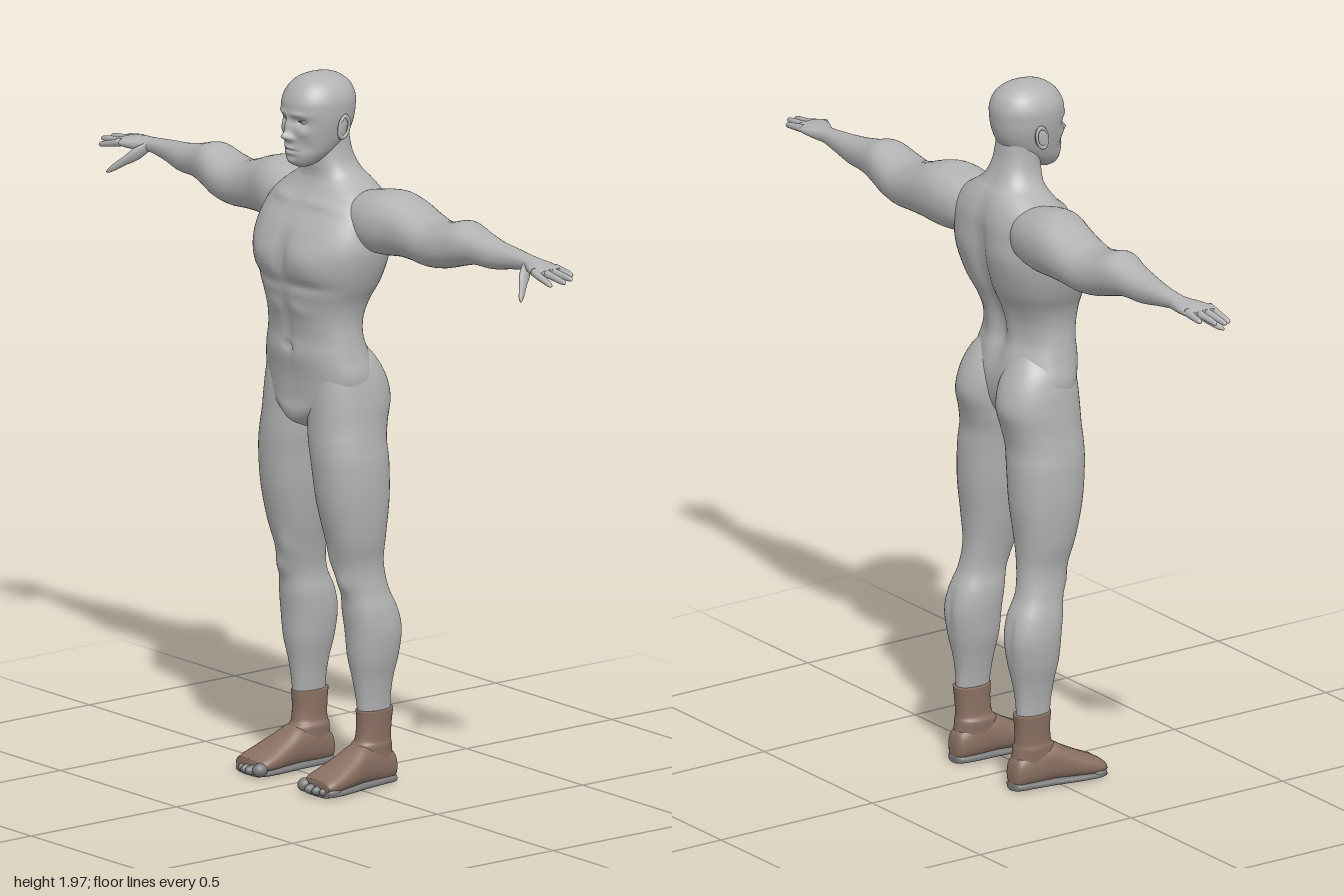
import * as THREE from 'three';

const material = (name, color) => {
  const m = new THREE.MeshStandardMaterial({ color });
  m.name = name;
  return m;
};

// Smooth Catmull-Rom interpolation between rows of numbers
function sampleRows(rows, steps) {
  const out = [], last = rows.length - 1;
  for (let s = 0; s <= steps; s++) {
    const f = (s / steps) * last, i = Math.min(Math.floor(f), last - 1), t = f - i;
    const [a, b, c, d] = [-1, 0, 1, 2].map(k => rows[Math.min(last, Math.max(0, i + k))]);
    out.push(b.map((_, k) => 0.5 * (2 * b[k] + (c[k] - a[k]) * t
      + (2 * a[k] - 5 * b[k] + 4 * c[k] - d[k]) * t * t
      + (3 * b[k] - a[k] - 3 * c[k] + d[k]) * t * t * t)));
  }
  return out;
}

// Rows are [position on axis, uMin, uMax, vMin, vMax], in ascending position.
// axis y: u = x, v = z;  axis x: u = y, v = z;  axis z: u = x, v = y.
// Bumps are [x, y, facing, amount, xRadius, yRadius], pushing the skin along z.
function loft(axis, rows, { steps = 40, segs = 32, power = 2.2, side = 1, bumps = [] } = {}) {
  const rings = sampleRows(rows, steps), pos = [], index = [];
  const centre = r => [r[0], (r[1] + r[2]) / 2, (r[1] + r[2]) / 2, (r[3] + r[4]) / 2, (r[3] + r[4]) / 2];
  const all = [centre(rings[0]), ...rings, centre(rings[steps])];
  const curve = c => Math.sign(c) * Math.abs(c) ** (2 / power);
  for (const [t, u0, u1, v0, v1] of all) {
    for (let j = 0; j < segs; j++) {
      const a = (j / segs) * Math.PI * 2, sn = Math.sin(a);
      const u = (u0 + u1) / 2 + (u1 - u0) / 2 * curve(Math.cos(a));
      const v = (v0 + v1) / 2 + (v1 - v0) / 2 * curve(sn);
      let [x, y, z] = axis === 'y' ? [u, t, v] : axis === 'x' ? [t, u, v] : [u, v, t];
      let push = 0;
      for (const [bx, by, face, amount, rx, ry] of bumps) {
        const w = Math.min(1, Math.max(0, sn * face * 3));
        push += face * amount * w * Math.exp(-(((Math.abs(x) - bx) / rx) ** 2) - ((y - by) / ry) ** 2);
      }
      pos.push(x * side, y, z + push);
    }
  }
  const flip = (axis === 'y') !== (side < 0);
  for (let i = 0; i < all.length - 1; i++) {
    for (let j = 0; j < segs; j++) {
      const k = (j + 1) % segs;
      const a = i * segs + j, b = i * segs + k, c = b + segs, d = a + segs;
      index.push(...(flip ? [a, c, b, a, d, c] : [a, b, c, a, c, d]));
    }
  }
  const g = new THREE.BufferGeometry();
  g.setAttribute('position', new THREE.Float32BufferAttribute(pos, 3));
  g.setIndex(index);
  g.computeVertexNormals();
  return g;
}

export function createModel() {
  const skin = material('skin grey', 0xb2b2b2);
  const wrap = material('foot wrap brown', 0x8a7062);
  const sole = material('sole grey', 0x7c7c7c);
  const dark = material('eye grey', 0x4c4c4c);
  const model = new THREE.Group();
  model.name = 'figure';
  const add = (name, geometry, mat, parent = model) => {
    const m = new THREE.Mesh(geometry, mat);
    m.name = name;
    parent.add(m);
    return m;
  };
  const ball = (name, mat, parent, p, s) => {
    const m = add(name, new THREE.SphereGeometry(1, 20, 14), mat, parent);
    m.position.set(...p);
    m.scale.set(...s);
    return m;
  };
  const symmetric = ([y, w, back, front]) => [y, -w, w, back, front];

  // Torso and neck
  const torso = [
    [0.99, 0.025, -0.03, 0.06], [1.01, 0.05, -0.06, 0.1], [1.04, 0.1, -0.085, 0.112],
    [1.08, 0.16, -0.1, 0.108], [1.14, 0.178, -0.105, 0.11], [1.2, 0.166, -0.092, 0.118],
    [1.25, 0.157, -0.075, 0.114], [1.3, 0.153, -0.08, 0.12], [1.35, 0.163, -0.1, 0.13],
    [1.4, 0.187, -0.125, 0.14], [1.45, 0.205, -0.14, 0.147], [1.5, 0.214, -0.148, 0.143],
    [1.55, 0.21, -0.15, 0.125], [1.6, 0.2, -0.15, 0.09], [1.64, 0.165, -0.14, 0.06],
    [1.67, 0.12, -0.125, 0.042], [1.69, 0.092, -0.11, 0.037], [1.72, 0.072, -0.094, 0.038],
    [1.76, 0.063, -0.08, 0.036], [1.82, 0.06, -0.07, 0.034]].map(symmetric);
  add('torso', loft('y', torso, {
    steps: 110, segs: 72, power: 2.3, bumps: [
      [0.09, 1.47, 1, 0.012, 0.06, 0.05], [0, 1.49, 1, -0.012, 0.015, 0.07],   // chest
      [0.08, 1.4, 1, -0.008, 0.08, 0.015], [0, 1.28, 1, -0.006, 0.01, 0.1],    // ribs, midline
      [0.05, 1.33, 1, 0.005, 0.03, 0.02], [0, 1.22, 1, -0.01, 0.01, 0.01],     // abdomen, navel
      [0, 1.42, -1, -0.022, 0.025, 0.2], [0.1, 1.52, -1, 0.01, 0.06, 0.07],    // spine, shoulder blades
      [0.05, 1.27, -1, 0.008, 0.03, 0.07], [0.08, 1.62, 1, 0.008, 0.06, 0.012] // loins, collar bones
    ] }), skin);

  // Head with sculpted face
  const head = new THREE.Group();
  head.name = 'head';
  model.add(head);
  const skull = [
    [1.715, 0.02, 0.045, 0.085], [1.725, 0.036, 0.02, 0.1], [1.75, 0.055, -0.02, 0.11],
    [1.78, 0.068, -0.06, 0.112], [1.81, 0.077, -0.08, 0.111], [1.84, 0.084, -0.09, 0.112],
    [1.87, 0.087, -0.094, 0.115], [1.9, 0.086, -0.094, 0.112], [1.93, 0.073, -0.082, 0.096],
    [1.95, 0.053, -0.06, 0.073], [1.961, 0.03, -0.036, 0.046], [1.966, 0.006, -0.005, 0.015]].map(symmetric);
  add('skull and face', loft('y', skull, {
    steps: 110, segs: 100, power: 2.15, bumps: [
      [0, 1.804, 1, 0.024, 0.011, 0.012], [0, 1.83, 1, 0.016, 0.009, 0.024],    // nose
      [0.013, 1.799, 1, 0.008, 0.007, 0.007],                                   // nostrils
      [0.033, 1.845, 1, -0.014, 0.017, 0.011], [0.03, 1.866, 1, 0.005, 0.03, 0.008], // sockets, brows
      [0.048, 1.815, 1, 0.006, 0.018, 0.014], [0.045, 1.775, 1, -0.006, 0.015, 0.02], // cheeks
      [0, 1.771, 1, 0.007, 0.02, 0.006], [0, 1.757, 1, 0.006, 0.018, 0.006],    // lips
      [0, 1.764, 1, -0.006, 0.022, 0.003], [0, 1.733, 1, 0.007, 0.02, 0.01]     // mouth, chin
    ] }), skin, head);

  for (const side of [1, -1]) {
    const label = side > 0 ? 'left' : 'right';

    // Eyes and ears
    ball(label + 'Eye', skin, head, [side * 0.034, 1.845, 0.084], [0.016, 0.009, 0.012]);
    const slit = ball(label + 'EyeSlit', dark, head, [side * 0.034, 1.846, 0.0945], [0.012, 0.0025, 0.0025]);
    slit.rotation.y = side * 0.3;
    const ear = ball(label + 'Ear', skin, head, [side * 0.088, 1.825, -0.002], [0.008, 0.034, 0.019]);
    ear.rotation.set(-0.2, side * 0.3, 0);
    const rim = add(label + 'EarRim', new THREE.TorusGeometry(0.017, 0.004, 8, 24), skin, head);
    rim.position.set(side * 0.093, 1.828, -0.004);
    rim.rotation.set(-0.2, Math.PI / 2, 0);
    rim.scale.set(1, 1.7, 1);

    // Arm from shoulder to palm
    add(label + 'Arm', loft('x', [
      [0.08, 1.53, 1.63, -0.11, -0.02], [0.14, 1.505, 1.655, -0.14, 0.03], [0.2, 1.495, 1.668, -0.152, 0.04],
      [0.25, 1.495, 1.672, -0.155, 0.032], [0.3, 1.5, 1.66, -0.155, 0.02], [0.36, 1.5, 1.638, -0.152, 0.015],
      [0.42, 1.497, 1.624, -0.148, 0.015], [0.48, 1.505, 1.632, -0.142, 0.012], [0.54, 1.523, 1.647, -0.133, 0],
      [0.6, 1.538, 1.632, -0.122, -0.015], [0.67, 1.54, 1.618, -0.112, -0.025], [0.74, 1.553, 1.611, -0.103, -0.04],
      [0.8, 1.563, 1.605, -0.097, -0.045], [0.83, 1.563, 1.602, -0.1, -0.038], [0.87, 1.565, 1.599, -0.106, -0.018],
      [0.905, 1.57, 1.594, -0.105, -0.01], [0.918, 1.575, 1.59, -0.095, -0.02]],
      { steps: 80, segs: 40, side }), skin);

    // Fingers: [root z, tip z, tip x, tip y]
    [[-0.02, -0.014, 0.975, 1.562], [-0.045, -0.042, 1, 1.57], [-0.07, -0.07, 0.993, 1.574], [-0.094, -0.098, 0.96, 1.575]]
      .forEach(([z0, z1, tipX, tipY], i) => {
        const rows = [[0, 0.011], [0.3, 0.0105], [0.5, 0.0095], [0.75, 0.0085], [0.93, 0.0065], [1, 0.002]].map(([t, r]) => {
          const x = 0.89 + (tipX - 0.89) * t, y = 1.583 + (tipY - 1.583) * t, z = z0 + (z1 - z0) * t;
          return [x, y - r, y + r, z - r, z + r];
        });
        add(label + 'Finger' + (i + 1), loft('x', rows, { steps: 16, segs: 12, power: 2, side }), skin);
      });
    const thumb = [[0.81, 0.012], [0.835, 0.019], [0.855, 0.014], [0.87, 0.0115], [0.883, 0.009], [0.892, 0.003]].map(([x, r]) => {
      const t = (x - 0.81) / 0.08, y = 1.585 - 0.074 * t, z = -0.058 + 0.082 * t;
      return [x, y - r, y + r, z - r, z + r];
    });
    add(label + 'Thumb', loft('x', thumb, { steps: 20, segs: 14, power: 2, side }), skin);

    // Leg with buttock, knee and calf
    add(label + 'Leg', loft('y', [
      [0.17, 0.105, 0.168, -0.115, -0.03], [0.2, 0.11, 0.17, -0.118, -0.02], [0.25, 0.104, 0.174, -0.12, -0.014],
      [0.3, 0.094, 0.182, -0.127, -0.006], [0.36, 0.08, 0.196, -0.14, 0.006], [0.43, 0.072, 0.204, -0.148, 0.012],
      [0.49, 0.071, 0.199, -0.136, 0.02], [0.55, 0.078, 0.186, -0.11, 0.026], [0.62, 0.068, 0.181, -0.1, 0.045],
      [0.7, 0.05, 0.197, -0.103, 0.068], [0.8, 0.032, 0.207, -0.114, 0.09], [0.9, 0.02, 0.207, -0.116, 0.1],
      [0.96, 0.01, 0.2, -0.114, 0.102], [1.01, 0.003, 0.193, -0.123, 0.1], [1.07, 0, 0.188, -0.136, 0.098],
      [1.13, 0, 0.179, -0.126, 0.094], [1.18, 0.01, 0.163, -0.1, 0.085], [1.22, 0.03, 0.13, -0.07, 0.06]],
      { steps: 100, segs: 48, side, bumps: [
        [0.132, 0.57, 1, 0.012, 0.028, 0.03], [0.1, 0.63, 1, 0.008, 0.022, 0.04],  // kneecap, inner thigh
        [0.14, 0.44, -1, -0.006, 0.012, 0.06], [0.09, 1.08, -1, 0.005, 0.05, 0.05] // calf split, buttock
      ] }), skin);

    // Foot wrap: ankle cuff over the foot
    const foot = new THREE.Group();
    foot.name = label + 'Foot';
    model.add(foot);
    add('ankleWrap', loft('y', [
      [0.04, 0.095, 0.175, -0.13, 0.01], [0.09, 0.093, 0.176, -0.127, 0.004], [0.115, 0.092, 0.177, -0.124, -0.004],
      [0.13, 0.1, 0.174, -0.121, -0.014], [0.17, 0.102, 0.175, -0.122, -0.018], [0.212, 0.102, 0.177, -0.127, -0.015]],
      { steps: 30, side }), wrap, foot);
    const footRows = [
      [-0.137, 0.118, 0.152, 0.02, 0.055], [-0.125, 0.102, 0.168, 0.008, 0.09], [-0.08, 0.093, 0.176, 0.006, 0.115],
      [-0.02, 0.09, 0.185, 0.008, 0.122], [0.03, 0.085, 0.197, 0.008, 0.097], [0.08, 0.081, 0.206, 0.007, 0.072],
      [0.115, 0.082, 0.207, 0.008, 0.056], [0.135, 0.09, 0.2, 0.012, 0.045]];
    add('footWrap', loft('z', footRows, { power: 2.4, side }), wrap, foot);
    add('sole', loft('z', footRows.map(([z, x0, x1]) => [z, x0, x1, 0, 0.022]), { power: 3, side }), sole, foot);

    // Toes, largest on the inside: [x, z, radius]
    [[0.097, 0.134, 0.019], [0.128, 0.137, 0.014], [0.153, 0.132, 0.013], [0.175, 0.124, 0.0125], [0.196, 0.113, 0.012]]
      .forEach(([x, z, r], i) => ball('toe' + (i + 1), sole, foot, [side * x, r + 0.004, z], [r, r, 0.022]));
  }
  return model;
}
